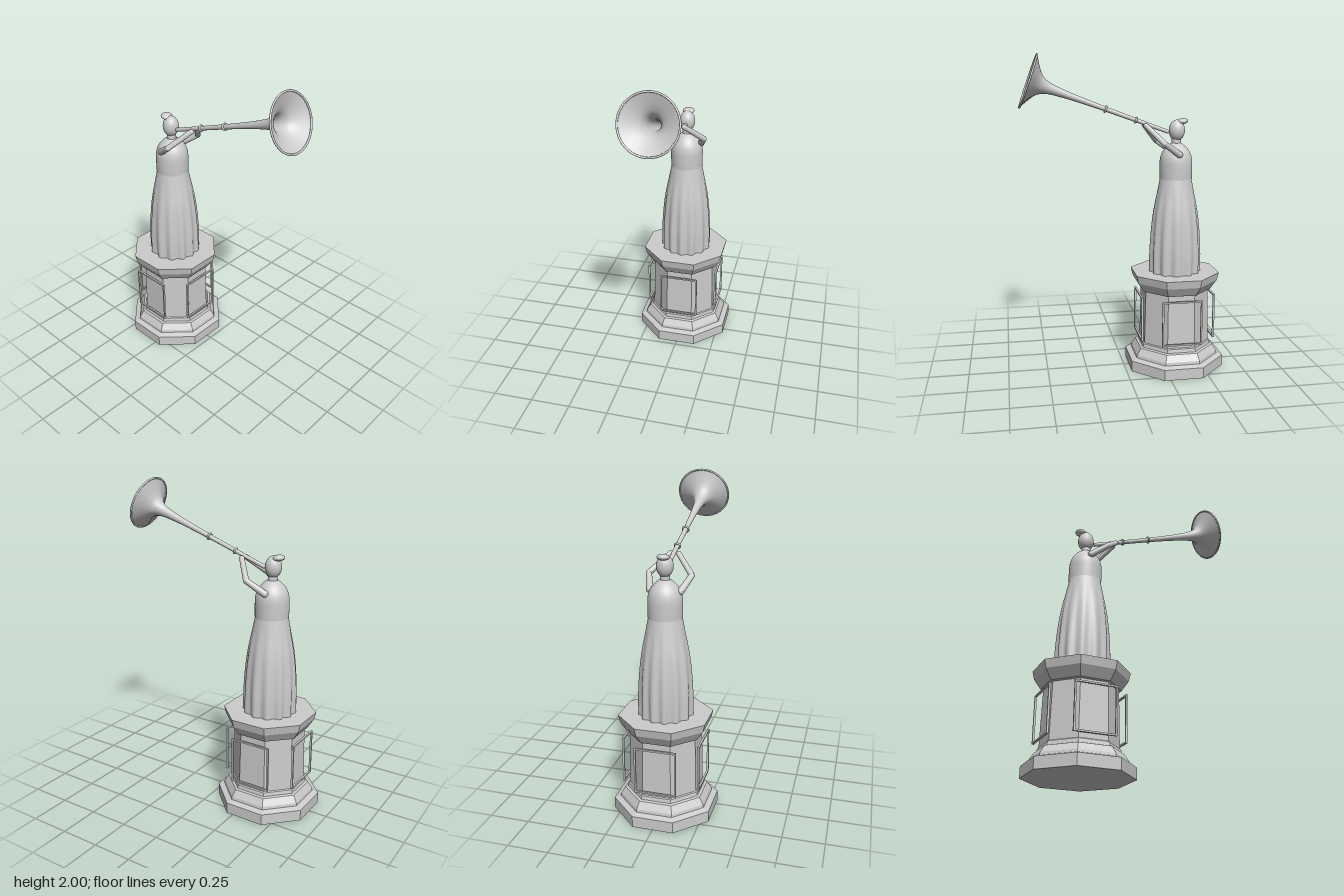
import * as THREE from 'three';
import { mergeVertices } from 'three/addons/utils/BufferGeometryUtils.js';

const stone = new THREE.MeshStandardMaterial({ color: 0xcccccc });
stone.name = 'stone';
const openStone = new THREE.MeshStandardMaterial({ color: 0xcccccc, side: THREE.DoubleSide });
openStone.name = 'stone';

const CENTRE_Z = -0.333;
const vec = (list) => list.map(([r, y]) => new THREE.Vector2(r, y));

function add(parent, name, geometry, material = stone) {
  const mesh = new THREE.Mesh(geometry, material);
  mesh.name = name;
  parent.add(mesh);
  return mesh;
}

// Smooth turned shape through a few profile points, bottom to top
function turned(list, segments = 48, steps = 32) {
  return new THREE.LatheGeometry(new THREE.SplineCurve(vec(list)).getPoints(steps), segments);
}

// Eight-sided moulded pedestal; profile radii are apothems
function pedestalGeometry() {
  const profile = [
    [0, 0], [0.30, 0], [0.30, 0.07], [0.265, 0.082], [0.262, 0.10], [0.237, 0.142],
    [0.222, 0.147], [0.218, 0.17], [0.211, 0.175], [0.204, 0.515], [0.218, 0.52],
    [0.256, 0.58], [0.267, 0.63], [0, 0.63],
  ].map(([a, y]) => [a / Math.cos(Math.PI / 8), y]);
  const geometry = new THREE.LatheGeometry(vec(profile), 8, Math.PI / 8).toNonIndexed();
  geometry.computeVertexNormals();
  return geometry;
}

// Hollow rectangular moulding
function frameGeometry() {
  const rect = (path, w, h) => path.moveTo(-w, -h).lineTo(w, -h).lineTo(w, h).lineTo(-w, h).closePath();
  const shape = rect(new THREE.Shape(), 0.128, 0.145);
  shape.holes.push(rect(new THREE.Path(), 0.118, 0.135));
  return new THREE.ExtrudeGeometry(shape, { depth: 0.012, bevelEnabled: false });
}

// Skirt with folds that deepen towards the hem
function skirtGeometry() {
  let geometry = turned([[0.158, 0.63], [0.159, 0.76], [0.152, 0.9], [0.139, 1.02],
    [0.117, 1.14], [0.099, 1.236]], 144, 24);
  const p = geometry.attributes.position;
  for (let i = 0; i < p.count; i++) {
    const x = p.getX(i), z = p.getZ(i);
    const angle = Math.atan2(x, z);
    const depth = 0.009 * Math.max(0, (1.2 - p.getY(i)) / 0.57);
    const scale = 1 + depth * Math.cos(13 * angle + 0.6 * Math.sin(2 * angle)) / Math.hypot(x, z);
    p.setX(i, x * scale);
    p.setZ(i, z * scale);
  }
  geometry.deleteAttribute('normal');
  geometry.deleteAttribute('uv');
  geometry = mergeVertices(geometry, 1e-5);
  geometry.computeVertexNormals();
  return geometry;
}

// Straight round limb between two points
function limb(parent, name, a, b, ra, rb) {
  const dir = b.clone().sub(a);
  const mesh = add(parent, name, new THREE.CylinderGeometry(rb, ra, dir.length(), 20));
  mesh.position.copy(a).add(b).multiplyScalar(0.5);
  mesh.quaternion.setFromUnitVectors(new THREE.Vector3(0, 1, 0), dir.normalize());
}

function ball(parent, name, centre, radius) {
  add(parent, name, new THREE.SphereGeometry(radius, 20, 14)).position.copy(centre);
}

function makeArm(side) {
  const arm = new THREE.Group();
  arm.name = side > 0 ? 'leftArm' : 'rightArm';
  const shoulder = new THREE.Vector3(side * 0.092, 1.39, -0.333);
  const elbow = new THREE.Vector3(side * 0.13, 1.462, -0.23);
  const hand = new THREE.Vector3(side * 0.025, 1.565, -0.135);
  limb(arm, 'upperArm', shoulder, elbow, 0.021, 0.018);
  limb(arm, 'forearm', elbow, hand, 0.018, 0.016);
  ball(arm, 'shoulder', shoulder, 0.021);
  ball(arm, 'elbow', elbow, 0.018);
  ball(arm, 'hand', hand, 0.016);
  return arm;
}

// Long horn built upright, then tilted forward
function makeHorn() {
  const horn = new THREE.Group();
  horn.name = 'horn';
  const L = 0.904;
  add(horn, 'hornTube', turned([[0.012, -0.01], [0.013, 0.2], [0.015, 0.42], [0.019, 0.58],
    [0.025, 0.69], [0.035, L - 0.13], [0.055, L - 0.08], [0.085, L - 0.05],
    [0.132, L - 0.02], [0.168, L]], 56, 60), openStone);
  const ring = (name, radius, tube, y) => {
    const mesh = add(horn, name, new THREE.TorusGeometry(radius, tube, 10, 56));
    mesh.rotation.x = Math.PI / 2;
    mesh.position.y = y;
  };
  ring('bellRim', 0.166, 0.006, L);
  ring('hornCollar', 0.016, 0.006, 0.21);
  ring('hornCollar', 0.018, 0.006, 0.41);
  horn.position.set(0, 1.527, -0.273);
  horn.rotation.x = Math.PI / 2 - 0.35;
  return horn;
}

export function createModel() {
  const model = new THREE.Group();
  model.name = 'statue';

  // Pedestal with a floating frame on each of the four main faces
  const pedestal = new THREE.Group();
  pedestal.name = 'pedestal';
  pedestal.position.z = CENTRE_Z;
  add(pedestal, 'pedestalBody', pedestalGeometry());
  const frame = frameGeometry();
  for (let i = 0; i < 4; i++) {
    const pivot = new THREE.Group();
    pivot.name = 'panelFrame';
    pivot.rotation.y = i * Math.PI / 2;
    add(pivot, 'frame', frame).position.set(0, 0.345, 0.228);
    pedestal.add(pivot);
  }
  model.add(pedestal);

  // Figure
  const figure = new THREE.Group();
  figure.name = 'figure';
  figure.position.z = CENTRE_Z;
  add(figure, 'skirt', skirtGeometry(), openStone);
  add(figure, 'bodice', turned([[0.102, 1.232], [0.103, 1.29], [0.101, 1.35], [0.088, 1.395],
    [0.062, 1.43], [0.03, 1.455]]), openStone);
  add(figure, 'neck', new THREE.CylinderGeometry(0.028, 0.03, 0.06, 32)).position.y = 1.465;
  const head = add(figure, 'head', new THREE.SphereGeometry(0.05, 32, 24));
  head.scale.y = 1.32;
  head.position.set(0, 1.533, -0.003);
  const bun = add(figure, 'hairBun', new THREE.SphereGeometry(0.037, 28, 18));
  bun.scale.y = 0.5;
  bun.rotation.x = 0.12;
  bun.position.set(0, 1.589, -0.037);
  model.add(figure);

  // Arms raised to the horn
  model.add(makeArm(1), makeArm(-1), makeHorn());
  return model;
}
